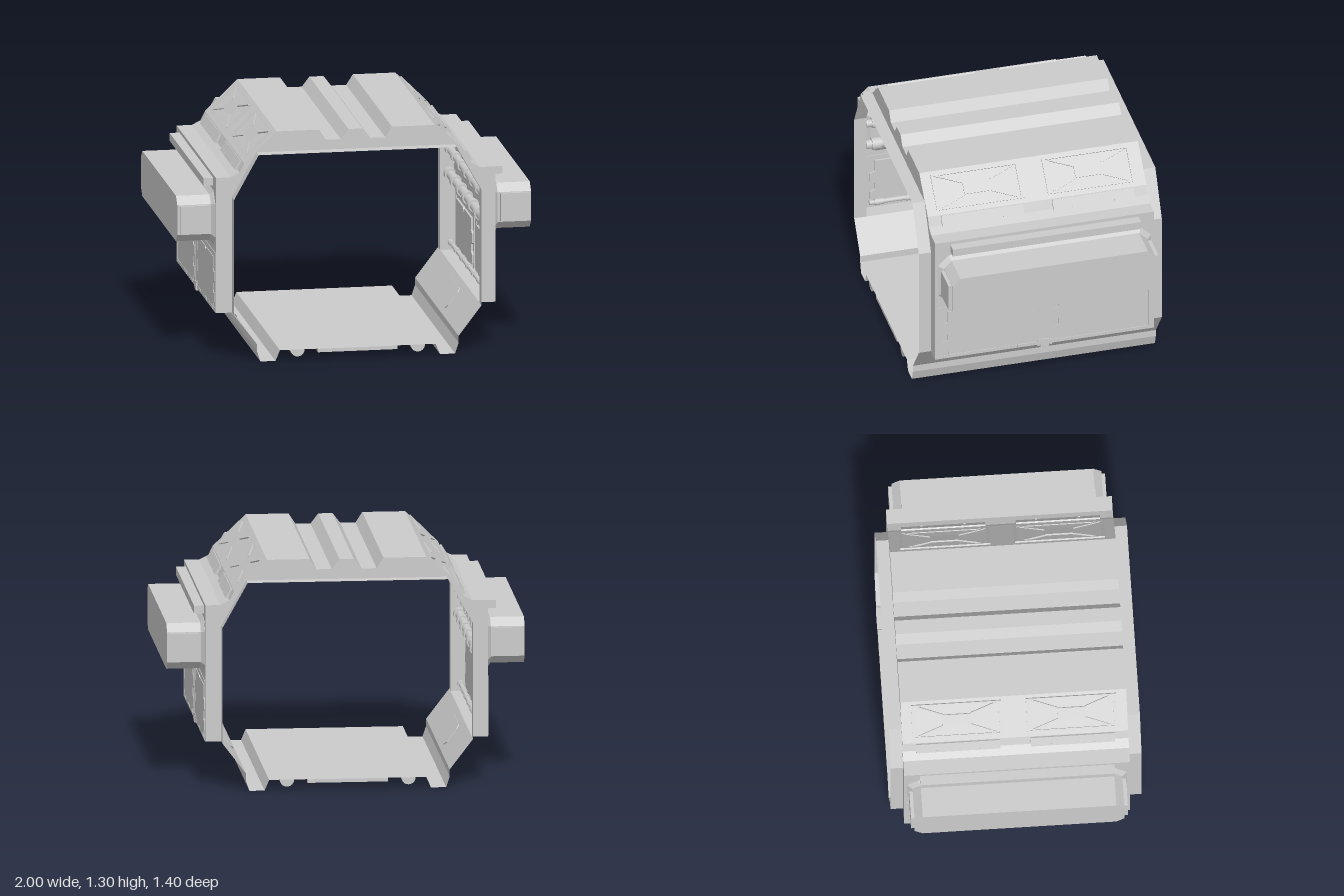
import * as THREE from 'three';

const flat = new THREE.MeshStandardMaterial({ color: 0xcccccc, flatShading: true, side: THREE.DoubleSide });
const smooth = new THREE.MeshStandardMaterial({ color: 0xcccccc });

function add(parent, name, geo, x = 0, y = 0, z = 0, mat = flat) {
  const m = new THREE.Mesh(geo, mat);
  m.name = name;
  m.position.set(x, y, z);
  parent.add(m);
  return m;
}
const box = (p, name, w, h, d, x, y, z) => add(p, name, new THREE.BoxGeometry(w, h, d), x, y, z);
const toShape = pts => new THREE.Shape(pts.map(p => new THREE.Vector2(...p)));
const mirrored = half => [...half, ...half.map(([x, y]) => [-x, y]).reverse()];

// Open sheet: an x-y profile swept straight from z0 to z1
function sheet(pts, z0, z1) {
  const pos = [];
  for (let i = 0; i < pts.length - 1; i++) {
    const [a, b] = [pts[i], pts[i + 1]];
    pos.push(...a, z0, ...b, z1, ...b, z0, ...a, z0, ...a, z1, ...b, z1);
  }
  const g = new THREE.BufferGeometry();
  g.setAttribute('position', new THREE.Float32BufferAttribute(pos, 3));
  g.computeVertexNormals();
  return g;
}

// Plate drawn in the z-y plane, thickness along +x
function plate(pts, depth, bevel = {}, holes = []) {
  const s = toShape(pts);
  s.holes = holes.map(toShape);
  return new THREE.ExtrudeGeometry(s, { depth, bevelEnabled: false, ...bevel }).rotateY(Math.PI / 2);
}
const rect = (w, h) => [[-w, -h], [w, -h], [w, h], [-w, h]];
const octagon = (w, h, c) => [[-w, -h + c], [-w + c, -h], [w - c, -h], [w, -h + c],
  [w, h - c], [w - c, h], [-w + c, h], [-w, h - c]];

// Group whose local +x is the normal of a sloping face
function tilted(parent, name, x, y, z, angle) {
  const g = new THREE.Group();
  g.name = name;
  g.position.set(x, y, z);
  g.rotation.z = angle;
  parent.add(g);
  return g;
}

// Pipe along z with collars
function pipe(parent, name, x, y, r, len) {
  const g = new THREE.Group();
  g.name = name;
  g.position.set(x, y, 0);
  parent.add(g);
  add(g, 'tube', new THREE.CylinderGeometry(r, r, len, 16).rotateX(Math.PI / 2), 0, 0, 0, smooth);
  for (let i = 0; i < 7; i++) {
    const z = (i - 3) * len / 6.6;
    add(g, 'collar', new THREE.CylinderGeometry(r * 1.35, r * 1.35, 0.05, 16).rotateX(Math.PI / 2), 0, 0, z, smooth);
  }
}

// Everything mounted on one side
function buildSide(name) {
  const side = new THREE.Group();
  side.name = name;

  // Side pod: flange, chamfered body and end boxes
  const flange = { bevelEnabled: true, bevelThickness: 0.02, bevelSize: 0.027, bevelSegments: 1 };
  add(side, 'podFlange', plate(octagon(0.587, 0.13, 0.045), 0.001, flange), 0.79, 0.798, 0);
  add(side, 'podBody', plate(octagon(0.585, 0.13, 0.045), 0.195), 0.805, 0.8, 0);
  for (const s of [-1, 1]) {
    box(side, 'podEnd', 0.16, 0.16, 0.03, 0.905, 0.802, s * 0.59);
  }
  box(side, 'wallRail', 0.065, 0.045, 1.085, 0.8125, 1.003, 0);

  for (const s of [-1, 1]) {
    // Notched lower wall panel with its border
    const zc = s * 0.32;
    const border = plate(rect(0.3, 0.17), 0.008, {}, [rect(0.28, 0.15).reverse()]);
    add(side, 'panelBorder', border, 0.785, 0.442, zc);
    const edge = [[0.235, -0.145], [0.235, -0.125], [0.268, -0.115], [0.268, -0.065], [0.238, -0.05],
      [0.238, -0.01], [0.268, 0.005], [0.268, 0.055], [0.238, 0.07], [0.238, 0.14]];
    const notch = [[0.02, 0.14], [0, 0.118]];
    const outline = [...edge, ...notch, [-0.02, 0.14], ...edge.map(([x, y]) => [-x, y]).reverse()];
    add(side, 'wallPanel', plate(outline, 0.016), 0.778, 0.44, zc);
    for (const k of [-0.2, 0, 0.2]) box(side, 'panelClip', 0.02, 0.015, 0.07, 0.785, 0.285, zc + k);

    // Braced panel on the roof slope
    const roof = tilted(side, 'roofPanel', 0.535, 1.212, s * 0.32, Math.PI / 4);
    add(roof, 'panelPlate', plate(rect(0.252, 0.103), 0.012, {}, [rect(0.235, 0.092).reverse()]), -0.004, 0, 0);
    add(roof, 'panelCentre', plate(rect(0.08, 0.034), 0.012), -0.004, 0, 0);
    for (const a of [-1, 1]) for (const b of [-1, 1]) {
      const dz = 0.14, dy = 0.056;
      const bar = box(roof, 'panelBrace', 0.012, 0.009, Math.hypot(dz, dy), 0.002, a * 0.062, b * 0.148);
      bar.rotation.x = -a * b * Math.atan2(dy, dz);
    }

    // Long block on the shoulder
    const block = tilted(side, 'shoulderBlock', 0.645, 1.09, s * 0.32, 0.55);
    add(block, 'blockBody', plate(rect(0.235, 0.03), 0.018), -0.005, 0, 0);
    for (const k of [-0.12, 0.12]) box(block, 'blockStud', 0.008, 0.008, 0.012, 0.014, -0.022, k);
  }

  // Latch between the two wall panels
  box(side, 'latch', 0.025, 0.05, 0.05, 0.782, 0.28, 0);
  for (const k of [-0.035, 0.035]) box(side, 'latchLug', 0.02, 0.035, 0.014, 0.785, 0.282, k);

  // Hatch on the sloping lower hull
  const hatch = tilted(side, 'hullHatch', 0.633, 0.182, 0, -0.653);
  add(hatch, 'hatchPlate', plate(octagon(0.175, 0.07, 0.025), 0.012), -0.006, 0, 0);

  // Pipes between the frames
  pipe(side, 'lowerPipe', 0.75, 0.325, 0.013, 1.2);
  pipe(side, 'middlePipe', 0.745, 0.72, 0.026, 1.24);
  pipe(side, 'upperPipe', 0.745, 0.86, 0.022, 1.24);
  pipe(side, 'roofPipe', 0.19, 1.212, 0.02, 1.24);

  // Half-round fittings under the floor ends
  for (const s of [-1, 1]) {
    const g = new THREE.CylinderGeometry(0.04, 0.04, 0.08, 16, 1, false, -Math.PI / 2, Math.PI).rotateX(Math.PI / 2);
    const fitting = add(side, 'floorFitting', g, 0.34, 0.06, s * 0.66);
    fitting.geometry.computeBoundingBox();
    if (fitting.geometry.boundingBox.max.y > 0.02) fitting.rotation.z = Math.PI;
  }
  return side;
}

export function createModel() {
  const model = new THREE.Group();
  model.name = 'corridorModule';

  // Outer shell and its inner opening, both right half first
  const outer = mirrored([[0.79, 0.27], [0.79, 1.045], [0.705, 1.045], [0.655, 1.07], [0.63, 1.122],
    [0.446, 1.297], [0.206, 1.297], [0.168, 1.238], [0.083, 1.238], [0.04, 1.294]]);
  const inner = mirrored([[0.70, 0.27], [0.70, 0.93], [0.56, 1.182]]);
  add(model, 'outerShell', sheet([[0.70, 0.27], ...outer, [-0.70, 0.27]], -0.63, 0.63));

  // End frames: flat cap plus a projecting lip
  const cap = toShape([...outer, ...[...inner].reverse()]);
  for (const s of [-1, 1]) {
    add(model, 'frameCap', new THREE.ShapeGeometry(cap), 0, 0, s * 0.63);
    add(model, 'frameLip', sheet(inner, s * 0.63, s * 0.70));
    box(model, 'floorSill', 0.45, 0.02, 0.04, 0, 0.049, s * 0.68);
  }

  // Lower hull with side channels and floor
  const hull = mirrored([[0.70, 0.27], [0.57, 0.10], [0.57, 0.06], [0.55, 0], [0.465, 0], [0.44, 0.06]]);
  add(model, 'lowerHull', sheet(hull, -0.70, 0.70));

  const left = buildSide('leftSide');
  const right = buildSide('rightSide');
  right.rotation.y = Math.PI;
  model.add(left, right);
  return model;
}
